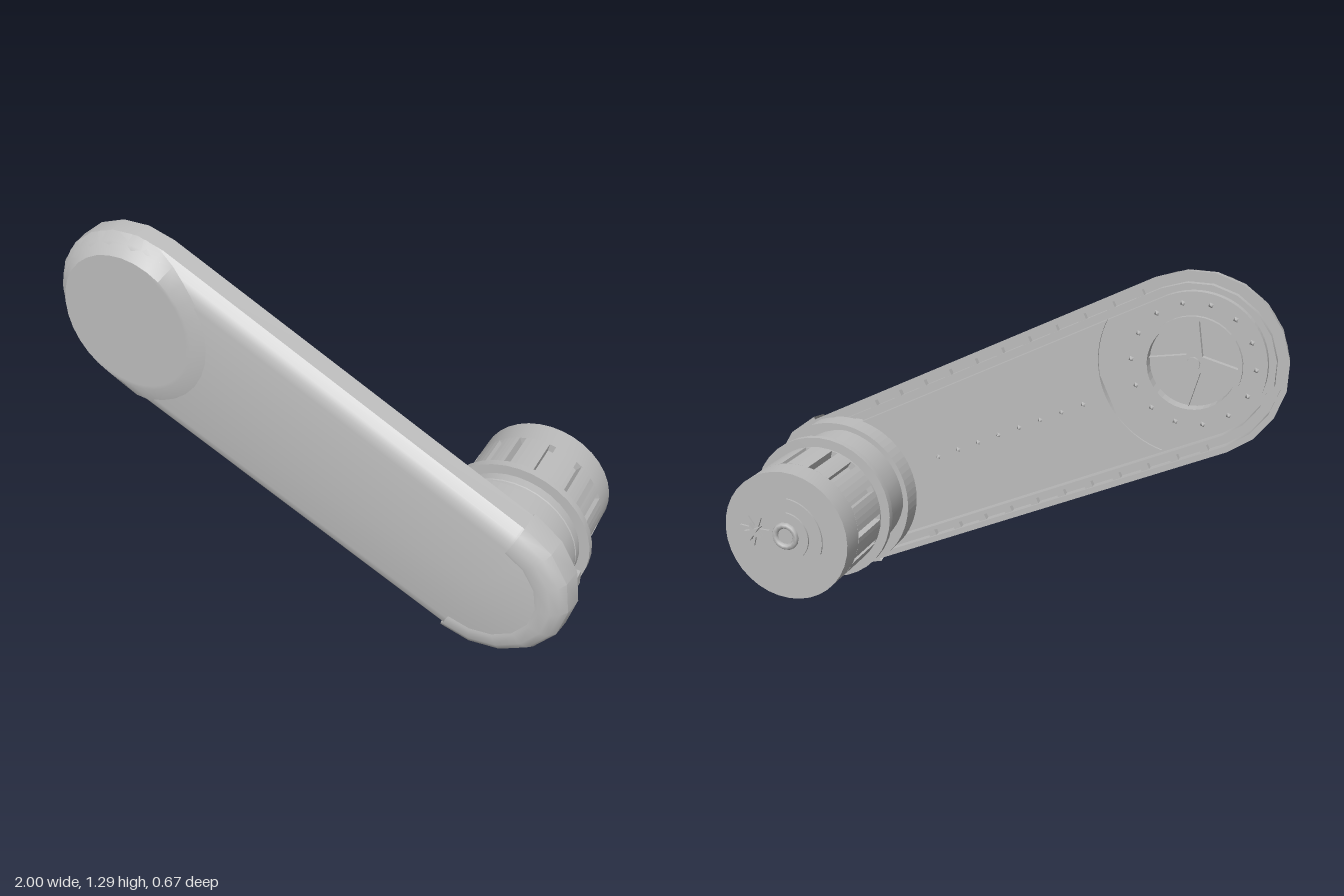
import * as THREE from 'three';
import { toCreasedNormals } from 'three/addons/utils/BufferGeometryUtils.js';

const grey = new THREE.MeshStandardMaterial({ color: 0xbcbcbc, side: THREE.DoubleSide });
grey.name = 'plain grey';

const ARM_LENGTH = 1.485, ARM_ANGLE = -0.438, R_TOP = 0.335, R_LOW = 0.311;
const H = Math.PI / 2;
const rad = THREE.MathUtils.degToRad;

function add(parent, name, geometry, x = 0, y = 0, z = 0) {
  const mesh = new THREE.Mesh(geometry, grey);
  mesh.name = name;
  mesh.position.set(x, y, z);
  parent.add(mesh);
  return mesh;
}

// Points of an arc about (cx, 0)
function arc(cx, r, from, to, steps) {
  return Array.from({ length: steps + 1 }, (_, i) => {
    const a = from + (to - from) * i / steps;
    return [cx + r * Math.cos(a), r * Math.sin(a)];
  });
}

// Skin between equal-length rows of [x, y] at height z
function loft(rows, closed) {
  const pos = [], index = [], n = rows[0].pts.length;
  rows.forEach(({ pts, z }) => pts.forEach(([x, y]) => pos.push(x, y, z)));
  for (let i = 0; i < rows.length - 1; i++) {
    for (let j = 0; j < (closed ? n : n - 1); j++) {
      const k = (j + 1) % n, a = i * n, b = a + n;
      index.push(a + j, a + k, b + k, a + j, b + k, b + j);
    }
  }
  const g = new THREE.BufferGeometry();
  g.setAttribute('position', new THREE.Float32BufferAttribute(pos, 3));
  g.setIndex(index);
  return toCreasedNormals(g, 0.6);
}

function extrude(shape, depth) {
  return new THREE.ExtrudeGeometry(shape, { depth, bevelEnabled: false, curveSegments: 20 });
}

// Profile of [radius, z], running toward the back, revolved about the z axis
function turned(profile) {
  const pts = profile.map(([r, z]) => new THREE.Vector2(r, -z));
  return toCreasedNormals(new THREE.LatheGeometry(pts, 36).rotateX(-H), 0.5);
}

function arcBand(inner, outer, from, to) {
  const s = new THREE.Shape();
  s.absarc(0, 0, outer, from, to, false);
  s.absarc(0, 0, inner, to, from, true);
  s.closePath();
  return s;
}

function star(points, outer, inner, turn = 0) {
  const pts = Array.from({ length: points * 2 }, (_, i) => {
    const a = turn + Math.PI * i / points, r = i % 2 ? inner : outer;
    return new THREE.Vector2(r * Math.cos(a), r * Math.sin(a));
  });
  return new THREE.Shape(pts);
}

// Round pad: steep at the arm's end, fading into the arm on the other side
function padGeometry() {
  const profile = [[0.325, 0.27], [0.264, 0.335], [0.25, 0.335], [0, 0.335]];
  const g = new THREE.LatheGeometry(profile.map(([r, z]) => new THREE.Vector2(r, z)), 32).rotateX(H);
  const p = g.attributes.position;
  for (let i = 0; i < p.count; i++) {
    if (p.getZ(i) < 0.271) p.setZ(i, 0.27 + 0.048 * THREE.MathUtils.smoothstep(p.getX(i) / 0.325, -0.2, 0.6));
  }
  return toCreasedNormals(g, 0.6);
}

function buildArm() {
  const arm = new THREE.Group();
  arm.name = 'arm';
  arm.position.set(-0.665, 0.95, 0);
  arm.rotation.z = ARM_ANGLE;

  // Shell: base of the back, double inner rim, outer wall, rounded front
  const profile = [[1, 0.255], [0.06, 0.255], [0.06, 0.215], [0.045, 0.215], [0.045, 0.245],
    [0.022, 0.245], [0.022, 0.205], [0, 0.205], [0.008, 0.27], [0.033, 0.298], [0.055, 0.314],
    [0.085, 0.32], [1, 0.32]];
  add(arm, 'armShell', loft(profile.map(([inset, z]) => ({
    z,
    pts: [...arc(ARM_LENGTH, Math.max(0, R_LOW - inset), -H, H, 10),
      ...arc(0, Math.max(0, R_TOP - inset), H, 3 * H, 10)],
  })), true));
  add(arm, 'frontPad', padGeometry());

  // Rounded cover around the lower end
  const cover = [[0.03, 0.205], [0, 0.205], [0.01, 0.275], [0.03, 0.302], [0.06, 0.318], [0.1, 0.322], [0.115, 0.319]];
  add(arm, 'endCover', loft(cover.map(([inset, z]) => ({
    z, pts: arc(ARM_LENGTH + 0.005, 0.322 - inset, -H, H, 8),
  })), false));

  // Back floor, cut in a curve around the upper end
  const floor = new THREE.Shape();
  floor.moveTo(ARM_LENGTH, -0.23);
  floor.lineTo(ARM_LENGTH, 0.23);
  floor.lineTo(0.223, 0.255);
  floor.absarc(0, 0, 0.339, 0.852, -0.852, true);
  floor.closePath();
  add(arm, 'backFloor', extrude(floor, 0.042), 0, 0, 0.213);

  // Slightly lower plate with a round socket
  const plate = new THREE.Shape();
  plate.moveTo(0.33, -0.253);
  plate.lineTo(0.33, 0.253);
  plate.lineTo(0, 0.258);
  plate.absarc(0, 0, 0.258, H, 3 * H, false);
  plate.closePath();
  const hole = new THREE.Path();
  hole.absarc(0, 0, 0.165, 0, Math.PI * 2, true);
  plate.holes.push(hole);
  add(arm, 'socketPlate', extrude(plate, 0.035), 0, 0, 0.222);

  // Socket ring with a star of ribs inside
  add(arm, 'socketRing', extrude(arcBand(0.16, 0.175, 0, Math.PI * 2), 0.052), 0, 0, 0.203);
  add(arm, 'socketStar', extrude(star(4, 0.16, 0.04, 0.5), 0.025), 0, 0, 0.23);
  add(arm, 'socketHub', new THREE.CylinderGeometry(0.025, 0.025, 0.02, 10).rotateX(H), 0, 0, 0.228);

  // Pegs around the socket and along the floor
  const peg = new THREE.ConeGeometry(0.012, 0.018, 4).rotateX(-H);
  for (let i = 0; i < 14; i++) {
    const a = i * Math.PI / 7;
    add(arm, 'socketPeg', peg, 0.22 * Math.cos(a), 0.22 * Math.sin(a), 0.215);
  }
  for (let i = 0; i < 8; i++) add(arm, 'floorPeg', peg, 0.43 + i * 0.09, 0, 0.207);

  // Clip teeth along both rims
  for (const side of [-1, 1]) {
    for (let i = 0; i < 11; i++) {
      const x = 0.08 + i * 0.115, r = R_TOP + (R_LOW - R_TOP) * x / ARM_LENGTH;
      add(arm, 'rimTooth', new THREE.BoxGeometry(0.03, 0.026, 0.025), x, side * (r - 0.034), 0.23);
    }
  }
  return arm;
}

function buildKnob() {
  const knob = new THREE.Group();
  knob.name = 'knob';
  knob.position.set(0.69, 0.32, 0);
  const R = 0.2475;

  add(knob, 'mountingDisc', turned([[0.288, 0.26], [0.288, 0.205], [0.24, 0.205]]), -0.005);
  add(knob, 'collar', turned([[R, 0.21], [R, 0.053], [0.244, 0.051], [0.244, 0.048], [R, 0.046], [R, -0.02]]));
  add(knob, 'flange', turned([[0.24, 0.013], [0.284, 0.013], [0.284, -0.013], [0.24, -0.013]]));
  add(knob, 'endCap', turned([[0.2, -0.21], [R, -0.21], [R, -0.305], [0, -0.305]]));

  // Grip section with long slots
  const slots = [-68, -54, -40, -9, 21, 36, 54, 80, 106, 126, 153, 180, 205, 228, 250, 272];
  const half = 0.05, pts = [];
  slots.forEach((deg, i) => {
    const a = rad(deg), next = rad(i + 1 < slots.length ? slots[i + 1] : slots[0] + 360);
    const put = (r, t) => pts.push(new THREE.Vector2(r * Math.cos(t), r * Math.sin(t)));
    put(R - 0.03, a - half);
    put(R - 0.03, a + half);
    for (let k = 0; k <= 4; k++) put(R, a + half + (next - a - 2 * half) * k / 4);
  });
  add(knob, 'slottedGrip', extrude(new THREE.Shape(pts), 0.195), 0, 0, -0.212);

  // Thin half ring on the arm side, separate tabs on the other
  add(knob, 'halfRing', extrude(arcBand(0.28, 0.3, rad(70), rad(262)), 0.09), 0, 0, 0.125);
  for (const deg of [2, -43]) {
    const a = rad(deg);
    const tab = add(knob, 'tab', new THREE.BoxGeometry(0.028, 0.055, 0.085),
      0.278 * Math.cos(a), 0.278 * Math.sin(a), 0.167);
    tab.rotation.z = a;
  }

  // Screw ring, curved ridges and splintered stud on the end face
  add(knob, 'screwRing', new THREE.TorusGeometry(0.042, 0.012, 6, 14), 0, 0, -0.305);
  add(knob, 'innerRidge', extrude(arcBand(0.075, 0.095, rad(95), rad(230)), 0.01), 0, 0, -0.312);
  add(knob, 'outerRidge', extrude(arcBand(0.125, 0.15, rad(95), rad(200)), 0.01), 0, 0, -0.312);
  add(knob, 'stud', extrude(star(7, 0.06, 0.018, 0.3), 0.008), 0.12, 0.01, -0.318);
  add(knob, 'studTip', extrude(star(5, 0.035, 0.012), 0.03), 0.12, 0.01, -0.335);
  return knob;
}

export function createModel() {
  const model = new THREE.Group();
  model.name = 'crankHandle';
  model.add(buildArm(), buildKnob());
  return model;
}
